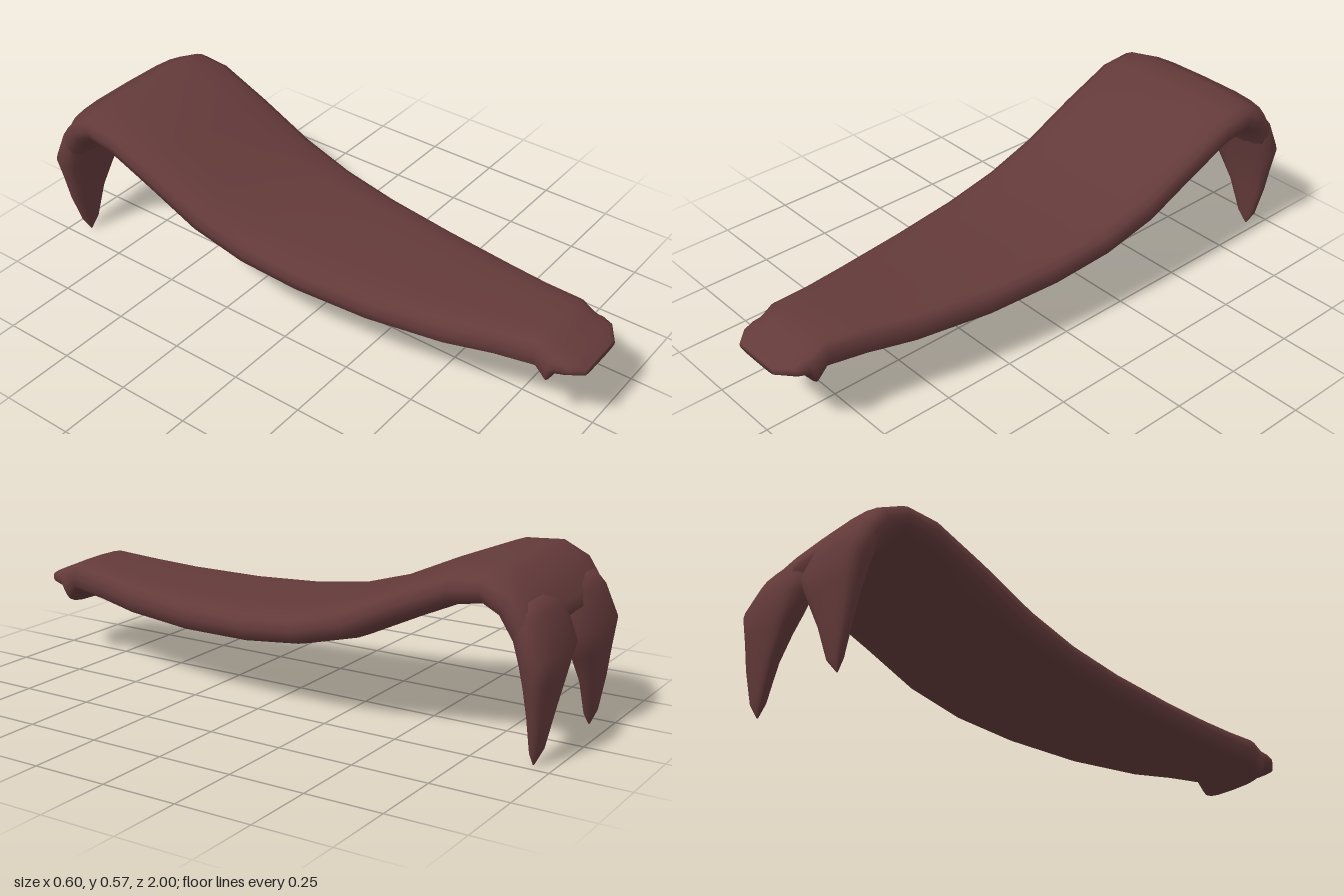
import * as THREE from 'three';

const SIDES = 20;

// Smooth closed loft. Each station: [topZ, topY, bottomZ, bottomY, centreX, halfWidth]
function loft(stations, power) {
  const pos = [], index = [];
  const soft = (v) => Math.sign(v) * Math.pow(Math.abs(v), power);
  for (const [tz, ty, bz, by, cx, hw] of stations) {
    for (let j = 0; j < SIDES; j++) {
      const a = (j / SIDES) * Math.PI * 2;
      const u = soft(Math.cos(a)), v = soft(Math.sin(a));
      pos.push(cx + u * hw, (ty + by) / 2 + (v * (ty - by)) / 2, (tz + bz) / 2 + (v * (tz - bz)) / 2);
    }
  }
  for (let i = 0; i < stations.length - 1; i++) {
    for (let j = 0; j < SIDES; j++) {
      const k = (j + 1) % SIDES;
      const a = i * SIDES + j, b = i * SIDES + k, c = a + SIDES, d = b + SIDES;
      index.push(a, c, b, b, c, d);
    }
  }
  // end caps
  for (const end of [0, stations.length - 1]) {
    const [tz, ty, bz, by, cx] = stations[end];
    const centre = pos.length / 3;
    pos.push(cx, (ty + by) / 2, (tz + bz) / 2);
    for (let j = 0; j < SIDES; j++) {
      const p = end * SIDES + j, q = end * SIDES + ((j + 1) % SIDES);
      if (end === 0) index.push(centre, p, q);
      else index.push(centre, q, p);
    }
  }
  const geo = new THREE.BufferGeometry();
  geo.setAttribute('position', new THREE.Float32BufferAttribute(pos, 3));
  geo.setIndex(index);
  geo.computeVertexNormals();
  return geo;
}

export function createModel() {
  const group = new THREE.Group();
  const skin = new THREE.MeshStandardMaterial({ color: 0x643a3a });
  skin.name = 'dark reddish brown';

  const add = (name, geo) => {
    const mesh = new THREE.Mesh(geo, skin);
    mesh.name = name;
    group.add(mesh);
  };

  // Long curved strap: front lip, sagging middle, raised and bent back
  add('strap', loft([
    [1.0, 0.28, 1.0, 0.255, -0.01, 0.09],
    [0.965, 0.296, 0.95, 0.25, 0, 0.135],
    [0.93, 0.311, 0.91, 0.235, 0, 0.143],
    [0.905, 0.322, 0.888, 0.187, 0, 0.146],
    [0.85, 0.345, 0.86, 0.232, 0, 0.148],
    [0.72, 0.334, 0.72, 0.218, 0, 0.167],
    [0.56, 0.32, 0.57, 0.2, 0, 0.2],
    [0.31, 0.312, 0.31, 0.19, 0, 0.24],
    [0.07, 0.32, 0.05, 0.2, 0, 0.268],
    [-0.13, 0.346, -0.16, 0.227, 0, 0.286],
    [-0.31, 0.4, -0.35, 0.278, 0, 0.296],
    [-0.5, 0.487, -0.53, 0.365, 0, 0.3],
    [-0.69, 0.565, -0.68, 0.433, 0, 0.302],
    [-0.8, 0.572, -0.78, 0.453, 0, 0.3],
    [-0.89, 0.53, -0.83, 0.425, 0, 0.298],
    [-0.945, 0.45, -0.868, 0.36, 0, 0.294],
    [-0.955, 0.415, -0.88, 0.345, 0, 0.285],
  ], 0.6));

  // Two pointed prongs hanging from the bent end
  for (const s of [1, -1]) {
    add(s > 0 ? 'leftProng' : 'rightProng', loft([
      [-0.915, 0.49, -0.855, 0.41, s * 0.15, 0.13],
      [-0.95, 0.45, -0.868, 0.365, s * 0.15, 0.145],
      [-0.998, 0.345, -0.886, 0.3, s * 0.157, 0.141],
      [-0.985, 0.25, -0.9, 0.24, s * 0.172 + 0.002, 0.108],
      [-0.974, 0.16, -0.915, 0.155, s * 0.19 + 0.004, 0.073],
      [-0.958, 0.047, -0.924, 0.04, s * 0.199 + 0.008, 0.033],
      [-0.938, 0.002, -0.934, 0.001, s * 0.205 + 0.008, 0.003],
    ], 0.8));
  }
  return group;
}
